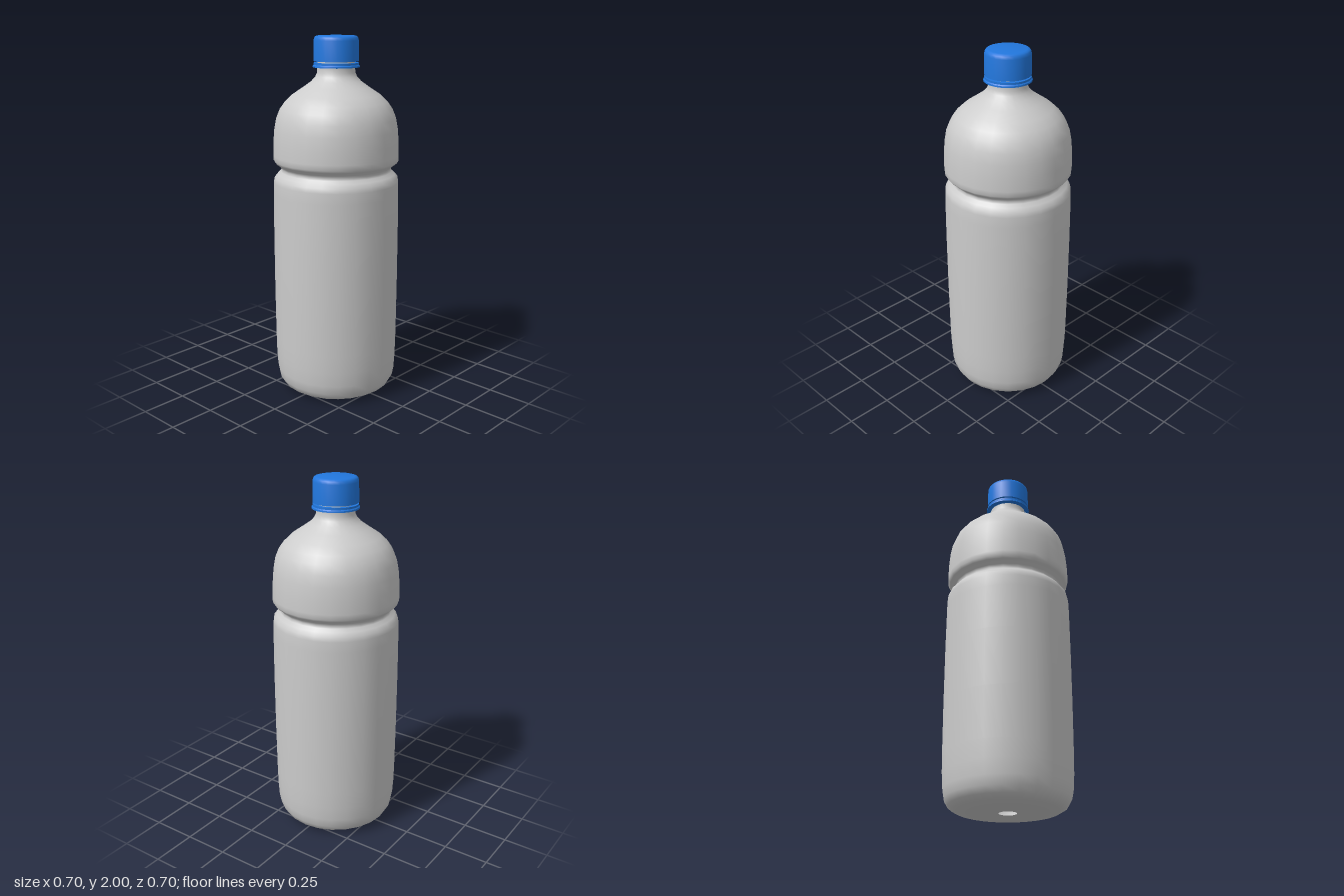
import * as THREE from 'three';
import { toCreasedNormals } from 'three/addons/utils/BufferGeometryUtils.js';

const SIDES = 24;

// Revolve a [radius, height] profile, listed from bottom to top.
function revolve(name, profile, material, crease) {
  const points = profile.map(([r, y]) => new THREE.Vector2(r, y));
  let geometry = new THREE.LatheGeometry(points, SIDES);
  if (crease) geometry = toCreasedNormals(geometry, crease);
  const mesh = new THREE.Mesh(geometry, material);
  mesh.name = name;
  return mesh;
}

export function createModel() {
  const plastic = new THREE.MeshStandardMaterial({ color: 0xcccccc, side: THREE.DoubleSide });
  const blue = new THREE.MeshStandardMaterial({ color: 0x2277dd, side: THREE.DoubleSide });
  const bottle = new THREE.Group();
  bottle.name = 'bottle';

  // Hollow body: base with a small centre hole, wall, grip groove, shoulder, neck
  bottle.add(revolve('body', [
    [0.048, 0.003], [0.15, 0.003], [0.23, 0.006], [0.28, 0.016], [0.312, 0.035],
    [0.332, 0.07], [0.341, 0.12], [0.346, 0.2], [0.348, 0.3], [0.35, 0.58],
    [0.35, 0.9], [0.348, 1.15], [0.346, 1.21], [0.341, 1.236], [0.325, 1.256],
    [0.307, 1.271], [0.302, 1.284], [0.309, 1.298], [0.335, 1.318], [0.346, 1.332],
    [0.347, 1.36], [0.345, 1.43], [0.339, 1.5], [0.328, 1.56], [0.308, 1.61],
    [0.28, 1.65], [0.24, 1.688], [0.18, 1.728], [0.135, 1.76], [0.113, 1.785],
    [0.104, 1.805], [0.102, 1.83], [0.102, 1.95],
  ], plastic));

  // Flared safety band below the cap
  bottle.add(revolve('capBand', [
    [0.102, 1.832], [0.128, 1.834], [0.127, 1.842], [0.122, 1.847],
    [0.122, 1.858], [0.102, 1.858],
  ], blue, 0.6));

  // Screw cap with a rounded top edge
  bottle.add(revolve('cap', [
    [0.102, 1.866], [0.123, 1.866], [0.121, 1.975], [0.118, 1.989],
    [0.111, 1.997], [0.1, 2], [0, 2],
  ], blue, 0.8));

  return bottle;
}
